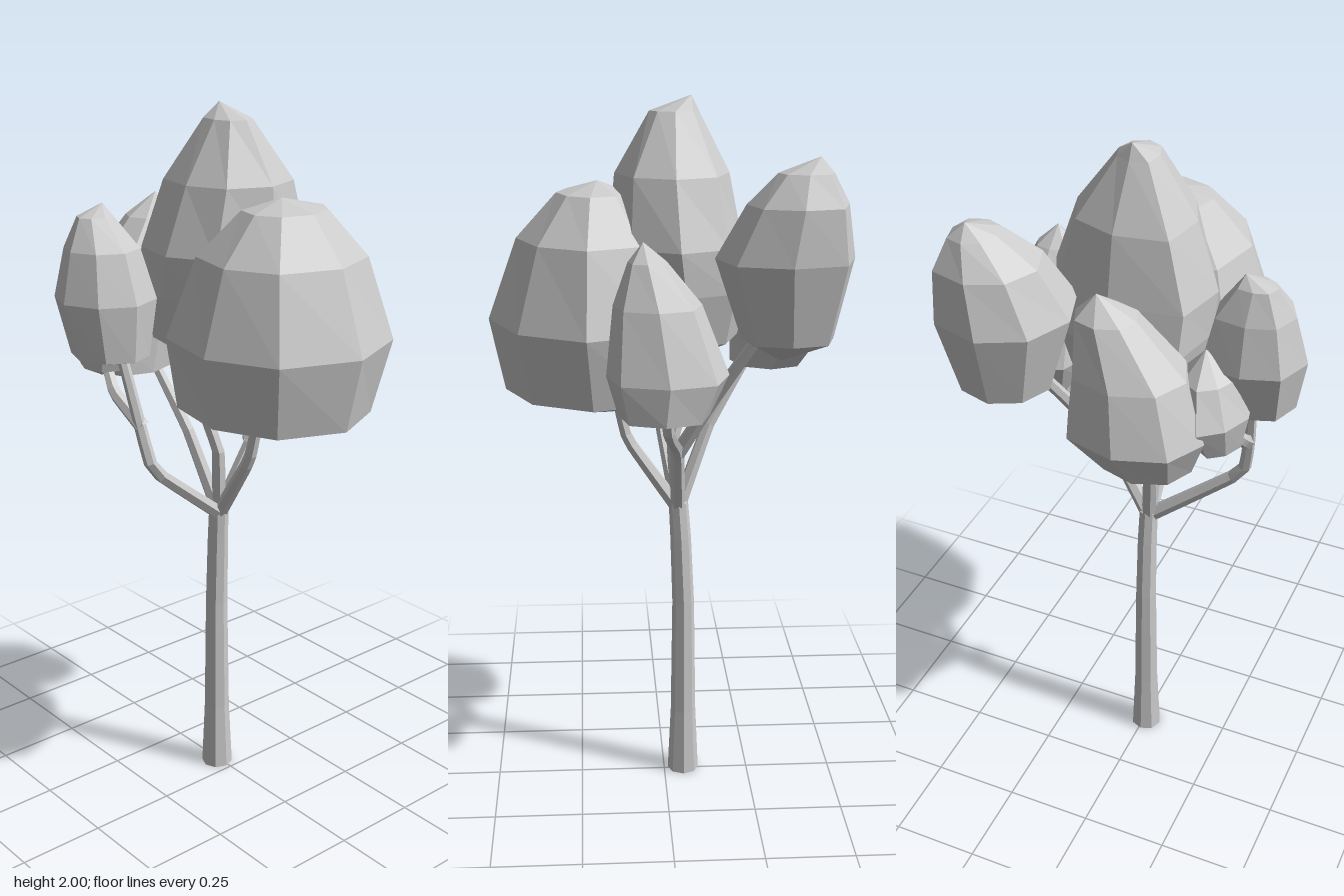
import * as THREE from 'three';

const material = new THREE.MeshStandardMaterial({ color: 0xcccccc, flatShading: true });

// Closed skin over horizontal elliptical rings [y, cx, cz, rx, rz] between two poles [x, y, z];
// outline scales the radius at each of the eight corners, starting at +x and turning to +z
function loft(bottom, rings, top, outline = [1, 1, 1, 1, 1, 1, 1, 1]) {
  const sides = outline.length;
  const pos = [...bottom];
  const index = [];
  for (const [y, cx, cz, rx, rz] of rings) {
    outline.forEach((k, i) => {
      const a = (i / sides) * Math.PI * 2;
      pos.push(cx + Math.cos(a) * rx * k, y, cz + Math.sin(a) * rz * k);
    });
  }
  pos.push(...top);
  const last = pos.length / 3 - 1;
  const at = (r, i) => 1 + r * sides + (i % sides);
  for (let i = 0; i < sides; i++) {
    index.push(0, at(0, i), at(0, i + 1));
    for (let r = 0; r < rings.length - 1; r++) {
      const a = at(r, i), b = at(r, i + 1), c = at(r + 1, i + 1), d = at(r + 1, i);
      index.push(a, d, c, a, c, b);
    }
    index.push(at(rings.length - 1, i), last, at(rings.length - 1, i + 1));
  }
  const g = new THREE.BufferGeometry();
  g.setAttribute('position', new THREE.Float32BufferAttribute(pos, 3));
  g.setIndex(index);
  g.computeVertexNormals();
  return g;
}

// Tapered tube through a few points
function limb(points, r0, r1) {
  const curve = new THREE.CatmullRomCurve3(points.map((p) => new THREE.Vector3(...p)), false, 'catmullrom', 0.1);
  const steps = 12, sides = 6;
  const g = new THREE.TubeGeometry(curve, steps, r0, sides);
  const p = g.attributes.position, v = new THREE.Vector3();
  for (let i = 0; i < p.count; i++) {
    const t = Math.floor(i / (sides + 1)) / steps;
    const c = curve.getPointAt(t);
    v.fromBufferAttribute(p, i).sub(c).multiplyScalar(1 + (r1 / r0 - 1) * t).add(c);
    p.setXYZ(i, v.x, v.y, v.z);
  }
  g.computeVertexNormals();
  return g;
}

const FORK = [-0.04, 0.84, 0.01];

const BRANCHES = {
  frontBranch: [FORK, [0, 1.05, 0.275], [-0.03, 1.2, 0.3], [-0.09, 1.42, 0.32]],
  frontTwig: [[-0.02, 1.17, 0.29], [-0.12, 1.25, 0.31], [-0.22, 1.36, 0.28]],
  leftBranch: [FORK, [0.105, 1.05, 0.02], [0.15, 1.25, 0.01]],
  rightBranch: [FORK, [-0.13, 1.08, 0.05], [-0.26, 1.3, 0.09]],
  middleBranch: [FORK, [-0.025, 1.04, 0.025], [-0.08, 1.22, 0.06], [-0.07, 1.42, 0.02]],
  backBranch: [FORK, [-0.03, 1.05, -0.11], [0, 1.13, -0.23], [0.01, 1.26, -0.28]],
  backRightBranch: [[-0.032, 1.04, -0.1], [-0.12, 1.2, -0.15], [-0.27, 1.45, -0.24]],
};

// Leaf clumps: bottom pole, rings, top pole, outline
const CLUMPS = {
  largeLeftFoliage: [[0.15, 1.14, -0.02], [
    [1.21, 0.2, -0.02, 0.24, 0.25], [1.41, 0.215, -0.03, 0.265, 0.3],
    [1.63, 0.21, -0.03, 0.19, 0.23], [1.75, 0.2, -0.03, 0.09, 0.12]], [0.18, 1.78, -0.02],
  [1, 1, 1, 1.18, 1.18, 1.04, 1, 0.95]],
  crownFoliage: [[-0.04, 1.28, -0.02], [
    [1.36, -0.045, -0.02, 0.155, 0.18], [1.5, -0.045, -0.025, 0.185, 0.215], [1.62, -0.03, -0.03, 0.178, 0.228],
    [1.8, -0.02, -0.03, 0.152, 0.165], [1.96, -0.025, -0.02, 0.065, 0.055]], [-0.07, 2, -0.02],
  [1.02, 1, 1, 1.2, 1, 1.02, 1, 1]],
  backFoliage: [[0.02, 1.19, -0.32], [
    [1.22, 0.02, -0.335, 0.12, 0.13], [1.32, 0.01, -0.32, 0.16, 0.15],
    [1.5, 0.035, -0.3, 0.115, 0.115], [1.61, 0.06, -0.3, 0.05, 0.055]], [0.07, 1.66, -0.3],
  [0.98, 0.95, 1, 1, 1, 1.07, 1, 1.08]],
  backRightFoliage: [[-0.29, 1.34, -0.26], [
    [1.4, -0.305, -0.265, 0.12, 0.115], [1.61, -0.295, -0.26, 0.18, 0.17],
    [1.75, -0.32, -0.29, 0.13, 0.13], [1.83, -0.335, -0.315, 0.07, 0.06]], [-0.37, 1.87, -0.32],
  [1, 1.05, 1, 0.97, 1, 1.1, 1, 1.08]],
  rightFoliage: [[-0.31, 1.23, 0.12], [
    [1.25, -0.3, 0.12, 0.105, 0.12], [1.37, -0.335, 0.1, 0.145, 0.185],
    [1.53, -0.32, 0.08, 0.125, 0.15], [1.67, -0.32, 0.02, 0.07, 0.08]], [-0.33, 1.73, 0],
  [1, 1.05, 1, 1, 1, 1.05, 1, 1]],
  frontFoliage: [[-0.09, 1.34, 0.34], [
    [1.37, -0.09, 0.34, 0.11, 0.1], [1.52, -0.11, 0.335, 0.137, 0.133],
    [1.65, -0.12, 0.335, 0.1, 0.1], [1.73, -0.14, 0.34, 0.045, 0.05]], [-0.15, 1.76, 0.31],
  [1, 0.95, 1, 1.02, 0.95, 1.15, 1, 1]],
  smallFrontFoliage: [[-0.22, 1.27, 0.28], [
    [1.3, -0.215, 0.28, 0.08, 0.06], [1.4, -0.225, 0.27, 0.125, 0.09],
    [1.5, -0.22, 0.25, 0.085, 0.07]], [-0.22, 1.57, 0.24],
  [1, 1.05, 1, 0.9, 1, 0.95, 1.05, 1.1]],
};

export function createModel() {
  const tree = new THREE.Group();
  tree.name = 'tree';
  const add = (name, geometry) => {
    const mesh = new THREE.Mesh(geometry, material);
    mesh.name = name;
    tree.add(mesh);
  };

  // Slightly bowed trunk
  add('trunk', loft([-0.057, 0, 0.007], [
    [0, -0.057, 0.007, 0.046, 0.046], [0.2, -0.057, 0.007, 0.037, 0.037],
    [0.55, -0.056, 0.007, 0.032, 0.032], [0.75, -0.048, 0.008, 0.03, 0.03],
    [0.86, -0.041, 0.01, 0.028, 0.028]], [-0.04, 0.88, 0.01]));

  for (const [name, points] of Object.entries(BRANCHES)) add(name, limb(points, 0.022, 0.014));
  for (const [name, clump] of Object.entries(CLUMPS)) add(name, loft(...clump));

  return tree;
}
